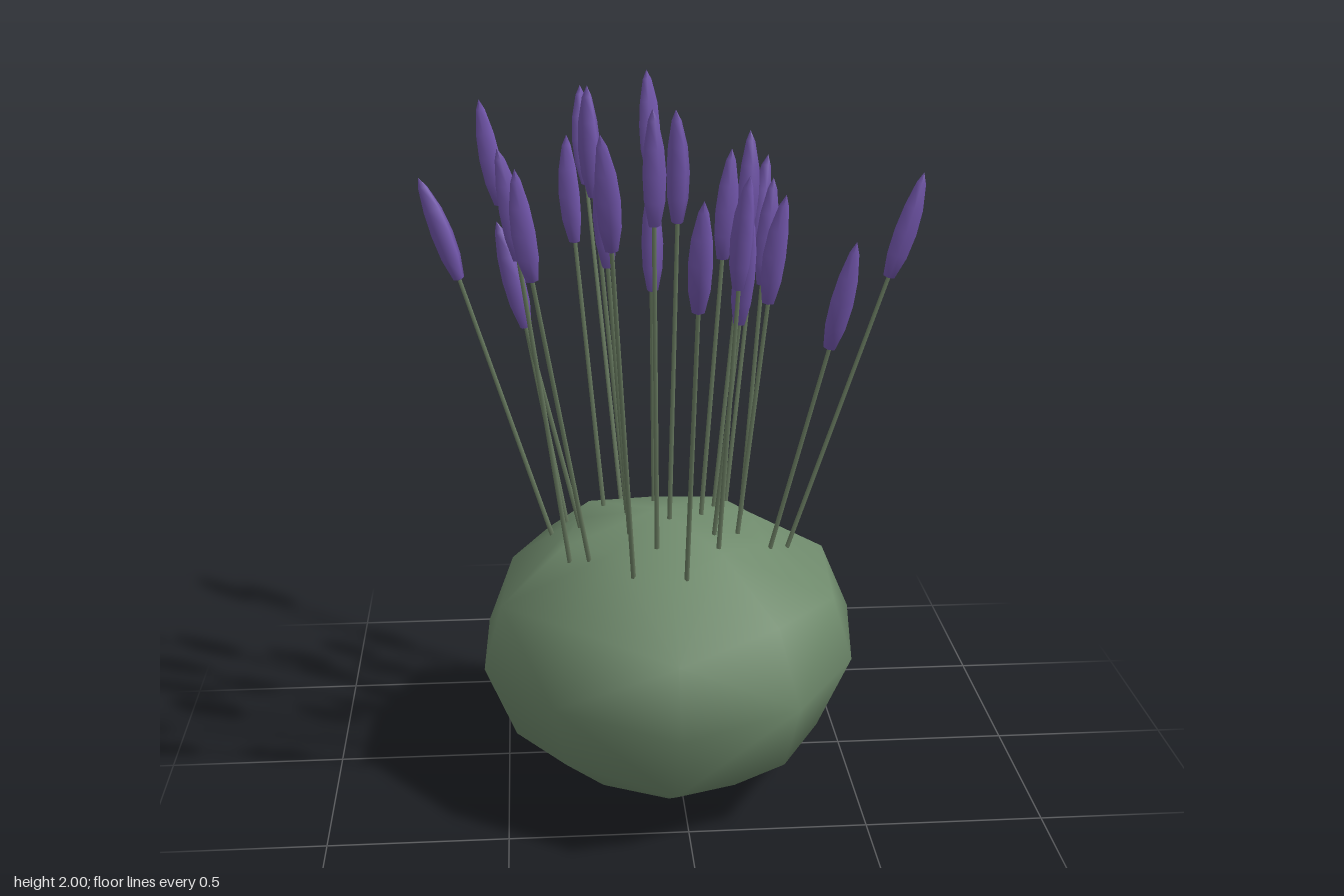
import * as THREE from 'three';

const mound = new THREE.MeshStandardMaterial({ color: 0x6f8a6c });
const stemGreen = new THREE.MeshStandardMaterial({ color: 0x66785e });
const purple = new THREE.MeshStandardMaterial({ color: 0x7256ac });

// Mound outline at its widest level [x, z], counter-clockwise from the front
const OUTLINE = [[-0.04, 0.72], [0.3, 0.55], [0.49, 0.24], [0.54, -0.145], [0.32, -0.46],
  [-0.04, -0.48], [-0.4, -0.445], [-0.55, -0.12], [-0.56, 0.23], [-0.37, 0.5]];
const CX = -0.05, CZ = 0.06;

// Levels: height and scale for even and odd outline corners
const LEVELS = [
  [0.03, 0.46, 0.05, 0.56],
  [0.17, 0.83, 0.2, 0.9],
  [0.39, 1, 0.39, 1],
  [0.575, 0.9, 0.6, 0.85],
  [0.725, 0.55, 0.745, 0.46],
];

function moundGeometry() {
  const n = OUTLINE.length, pos = [], index = [];
  for (const level of LEVELS) {
    OUTLINE.forEach(([x, z], k) => {
      const y = level[(k % 2) * 2], s = level[(k % 2) * 2 + 1];
      pos.push(CX + (x - CX) * s, y, CZ + (z - CZ) * s);
    });
  }
  const bottom = pos.length / 3, top = bottom + 1;
  pos.push(CX, 0, CZ, CX, 0.8, CZ);
  const last = (LEVELS.length - 1) * n;
  for (let k = 0; k < n; k++) {
    const k1 = (k + 1) % n;
    index.push(bottom, k1, k, top, last + k, last + k1);
    for (let j = 0; j < last; j += n) {
      const a = j + k, b = j + k1, c = b + n, d = a + n;
      // Alternate the diagonal for an even facet pattern
      if ((k + j / n) % 2) index.push(a, b, c, a, c, d);
      else index.push(a, b, d, b, c, d);
    }
  }
  const g = new THREE.BufferGeometry();
  g.setAttribute('position', new THREE.Float32BufferAttribute(pos, 3));
  g.setIndex(index);
  g.computeVertexNormals();
  return g;
}

// Stalks: base x, base z, tip x, tip y, tip z
const STALKS = [
  [-0.14, -0.29, -0.25, 1.9, -0.72], [-0.045, -0.26, -0.03, 1.96, -0.62],
  [-0.31, -0.155, -0.54, 1.92, -0.32], [-0.2, -0.115, -0.3, 1.83, -0.23],
  [-0.355, -0.05, -0.7, 1.73, -0.16], [-0.14, 0.025, -0.25, 2, -0.01],
  [-0.27, 0.045, -0.49, 1.64, 0.04], [-0.055, -0.1, -0.055, 1.7, -0.15],
  [0.16, -0.165, 0.28, 1.76, -0.27], [0.115, -0.06, 0.235, 1.85, -0.145],
  [0.19, -0.01, 0.27, 1.74, -0.03], [0.07, 0.045, 0.15, 1.83, 0.035],
  [0.32, 0.055, 0.69, 1.76, 0.055], [0.165, 0.13, 0.275, 1.73, 0.165],
  [0.25, 0.165, 0.475, 1.61, 0.25], [0.095, 0.165, 0.185, 1.69, 0.245],
  [0.1, 0.25, 0.16, 1.81, 0.33], [-0.025, 0.11, 0, 1.96, 0.17],
  [-0.14, 0.165, -0.22, 1.86, 0.265], [-0.07, 0.255, -0.085, 1.99, 0.36],
  [-0.31, 0.205, -0.475, 1.89, 0.295], [-0.255, 0.235, -0.45, 1.85, 0.405],
  [-0.14, 0.35, -0.22, 1.97, 0.61], [0, 0.39, 0.02, 1.81, 0.61],
];

const HEAD = 0.31;

// Five-sided bud whose tip leans slightly sideways
function budGeometry() {
  const profile = [[0, 0], [0.017, 0.005], [0.03, 0.07], [0.033, 0.14], [0.028, 0.21], [0.014, 0.28], [0, HEAD]];
  const g = new THREE.LatheGeometry(profile.map(([r, y]) => new THREE.Vector2(r, y)), 5);
  const p = g.attributes.position;
  for (let i = 0; i < p.count; i++) {
    const t = p.getY(i) / HEAD;
    p.setX(i, p.getX(i) + 0.012 * t * t * t);
  }
  return g;
}

export function createModel() {
  const model = new THREE.Group();
  model.name = 'floweringMound';
  const body = new THREE.Mesh(moundGeometry(), mound);
  body.name = 'leafMound';
  model.add(body);

  const bud = budGeometry();
  STALKS.forEach(([bx, bz, tx, ty, tz], i) => {
    const by = 0.79 - 0.35 * Math.hypot(bx - CX, bz - CZ);
    const base = new THREE.Vector3(bx, by, bz);
    const dir = new THREE.Vector3(tx, ty, tz).sub(base);
    const length = dir.length();
    const stalk = new THREE.Group();
    stalk.name = 'flowerStalk';
    stalk.position.copy(base);
    stalk.quaternion.setFromUnitVectors(new THREE.Vector3(0, 1, 0), dir.normalize());

    // Stem reaches a little way into the bud
    const stemLength = length - HEAD + 0.05;
    const stem = new THREE.Mesh(new THREE.CylinderGeometry(0.006, 0.007, stemLength, 5), stemGreen);
    stem.name = 'stem';
    stem.position.y = stemLength / 2;

    const head = new THREE.Mesh(bud, purple);
    head.name = 'flowerHead';
    head.position.y = length - HEAD;
    head.rotation.y = i * 2.4;
    stalk.add(stem, head);
    model.add(stalk);
  });
  return model;
}
